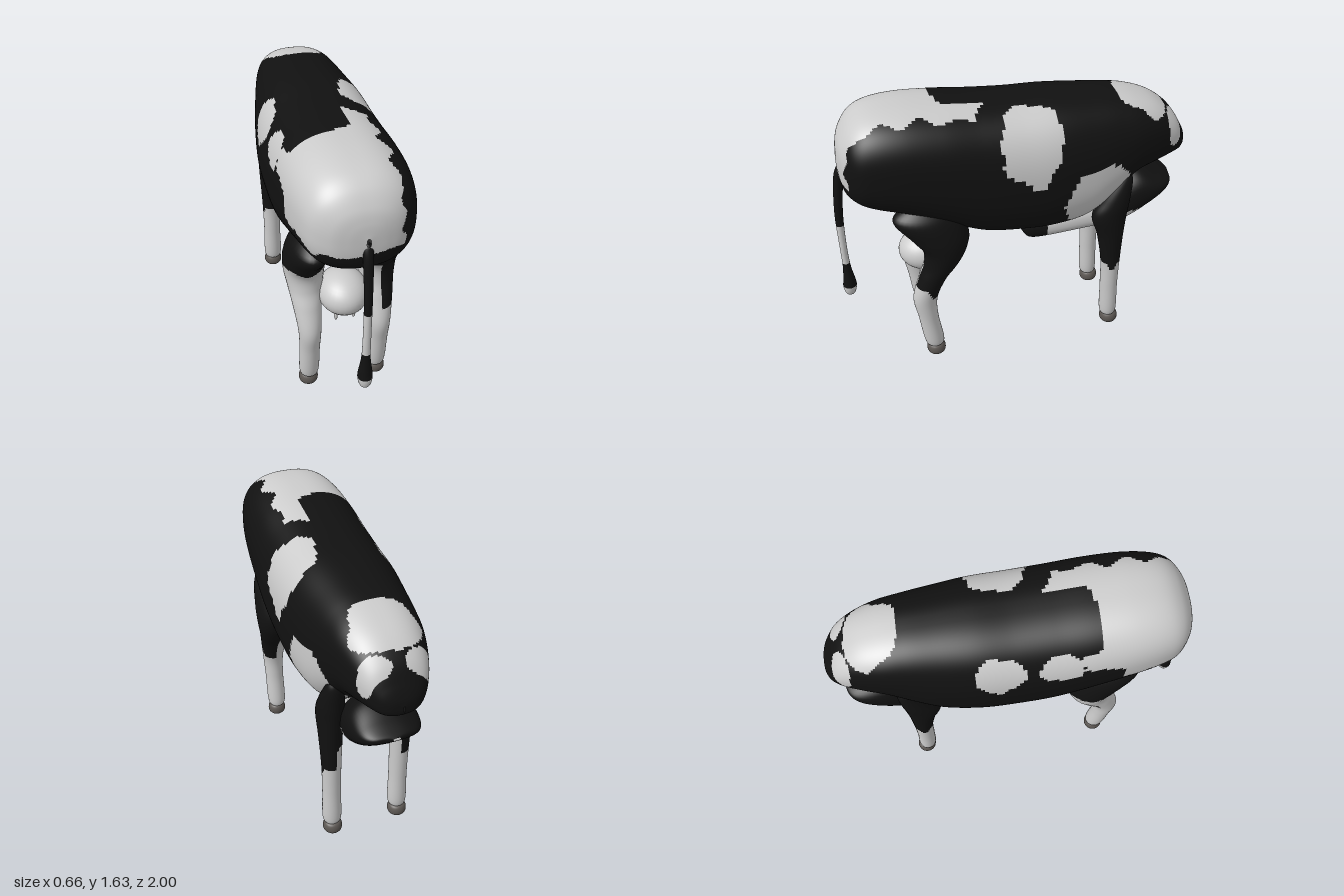
import * as THREE from 'three';

const mats = {
  light: new THREE.MeshStandardMaterial({ color: 0xcccccc }),
  dark: new THREE.MeshStandardMaterial({ color: 0x111111 }),
  hoof: new THREE.MeshStandardMaterial({ color: 0x5c5753 }),
};

// Smooth loft through rows [t, lo, hi, halfWidth, cx]. Along 'z' (descending) lo/hi are heights;
// along 'y' (ascending) they are depths. isDark(x, y, z) picks the coat colour of each cell.
function loft(name, rows, axis, isDark, { power = 2, steps = 40, sides = 32 } = {}) {
  const edges = new THREE.CatmullRomCurve3(rows.map(r => new THREE.Vector3(r[0], r[1], r[2])), false, 'catmullrom');
  const widths = new THREE.CatmullRomCurve3(rows.map(r => new THREE.Vector3(r[3], r[4] ?? 0, 0)), false, 'catmullrom');
  const pos = [];
  const bend = v => Math.sign(v) * Math.abs(v) ** (2 / power);
  for (let i = 0; i <= steps; i++) {
    const e = edges.getPoint(i / steps), w = widths.getPoint(i / steps);
    for (let j = 0; j < sides; j++) {
      const a = (j / sides) * Math.PI * 2;
      const x = w.y + Math.max(w.x, 0.001) * bend(Math.cos(a));
      const v = (e.y + e.z) / 2 + Math.max((e.z - e.y) / 2, 0.001) * bend(Math.sin(a));
      if (axis === 'z') pos.push(x, v, e.x);
      else pos.push(x, e.x, v);
    }
  }
  const faces = { light: [], dark: [] };
  for (let i = 0; i < steps; i++) {
    for (let j = 0; j < sides; j++) {
      const a = i * sides + j, b = i * sides + ((j + 1) % sides), c = a + sides, d = b + sides;
      const mid = k => (pos[a * 3 + k] + pos[d * 3 + k]) / 2;
      faces[isDark(mid(0), mid(1), mid(2)) ? 'dark' : 'light'].push(a, c, b, b, c, d);
    }
  }
  // Both colours share one set of normals, so the coat stays smooth across patches
  const base = new THREE.BufferGeometry();
  base.setAttribute('position', new THREE.Float32BufferAttribute(pos, 3));
  base.setIndex([...faces.light, ...faces.dark]);
  base.computeVertexNormals();
  const group = new THREE.Group();
  group.name = name;
  for (const key of ['light', 'dark']) {
    if (!faces[key].length) continue;
    const geo = new THREE.BufferGeometry();
    geo.setAttribute('position', base.attributes.position);
    geo.setAttribute('normal', base.attributes.normal);
    geo.setIndex(faces[key]);
    const mesh = new THREE.Mesh(geo, mats[key]);
    mesh.name = `${name}${key === 'light' ? 'Light' : 'Dark'}Coat`;
    group.add(mesh);
  }
  return group;
}

// Light patches on the dark body: ellipsoids [x, y, z, rx, ry, rz]
const patches = [
  [0.28, 1.45, -0.05, 0.2, 0.25, 0.17],
  [0.25, 1.02, -0.44, 0.2, 0.23, 0.2],
  [-0.3, 1.42, -0.1, 0.09, 0.16, 0.13],
  [-0.29, 1.42, 0.22, 0.08, 0.1, 0.12],
  [0, 1.55, -0.76, 0.24, 0.16, 0.18],
  [0.14, 1.36, -0.89, 0.12, 0.13, 0.05],
  [-0.14, 1.36, -0.89, 0.12, 0.13, 0.05],
  [0, 0.82, 0.3, 0.15, 0.14, 0.3],
];

function bodyDark(x, y, z) {
  const wob = 0.015 * Math.sin(31 * z + 9 * y) + 0.012 * Math.sin(43 * y - 17 * x);
  const rump = x > -0.315 && x < 0.17 + wob && y > 1.23 + wob && z > (x > 0.05 ? 0.17 : 0.37) + 2 * wob;
  return !rump && !patches.some(([a, b, c, p, q, r]) =>
    ((x - a) / p) ** 2 + ((y - b) / q) ** 2 + ((z - c) / r) ** 2 < 1 + 8 * wob);
}

const bodyRows = [
  [0.935, 1.29, 1.34, 0.01], [0.925, 1.21, 1.42, 0.1], [0.9, 1.15, 1.49, 0.18], [0.84, 1.1, 1.565, 0.25],
  [0.75, 1.06, 1.61, 0.285], [0.6, 1.01, 1.625, 0.31], [0.4, 0.92, 1.615, 0.325], [0.2, 0.825, 1.595, 0.33],
  [0, 0.79, 1.58, 0.33], [-0.2, 0.78, 1.575, 0.325], [-0.4, 0.81, 1.56, 0.3], [-0.55, 0.92, 1.545, 0.27],
  [-0.68, 1.045, 1.52, 0.24], [-0.8, 1.09, 1.475, 0.205], [-0.9, 1.12, 1.4, 0.165], [-0.96, 1.135, 1.31, 0.12],
  [-0.99, 1.155, 1.25, 0.07], [-1, 1.18, 1.21, 0.005],
];

// Head tucked back under the chest, muzzle pointing to the udder
const headRows = [
  [-0.04, 0.74, 0.76, 0.04], [-0.06, 0.69, 0.78, 0.08], [-0.1, 0.64, 0.79, 0.095], [-0.2, 0.63, 0.8, 0.1],
  [-0.45, 0.655, 0.88, 0.13], [-0.6, 0.675, 1.0, 0.17], [-0.72, 0.74, 1.05, 0.185], [-0.85, 0.85, 1.01, 0.17],
  [-0.92, 0.92, 0.98, 0.12], [-0.945, 0.95, 0.965, 0.02],
];

const hindLegRows = s => [
  [0.08, 0.5, 0.53, 0.01, 0.197 * s], [0.09, 0.46, 0.57, 0.053, 0.197 * s], [0.3, 0.485, 0.6, 0.057, 0.197 * s],
  [0.45, 0.48, 0.62, 0.064, 0.197 * s], [0.6, 0.42, 0.58, 0.08, 0.2 * s], [0.7, 0.35, 0.545, 0.096, 0.2 * s],
  [0.8, 0.3, 0.545, 0.112, 0.2 * s], [0.9, 0.285, 0.61, 0.112, 0.2 * s], [1.02, 0.33, 0.69, 0.1, 0.185 * s],
  [1.1, 0.45, 0.58, 0.03, 0.18 * s],
];

const frontLegRows = s => [
  [0.08, -0.59, -0.56, 0.01, 0.2 * s], [0.09, -0.625, -0.525, 0.052, 0.2 * s], [0.3, -0.62, -0.515, 0.052, 0.2 * s],
  [0.5, -0.62, -0.505, 0.055, 0.2 * s], [0.7, -0.625, -0.47, 0.064, 0.2 * s], [0.84, -0.635, -0.43, 0.07, 0.2 * s],
  [0.95, -0.645, -0.48, 0.068, 0.2 * s], [1.08, -0.65, -0.56, 0.045, 0.2 * s], [1.14, -0.62, -0.6, 0.01, 0.2 * s],
];

const tailRows = [
  [0.39, 0.955, 0.965, 0.008], [0.405, 0.935, 0.99, 0.027], [0.45, 0.922, 1.0, 0.039], [0.5, 0.925, 0.995, 0.037],
  [0.6, 0.94, 0.985, 0.024], [0.75, 0.945, 0.985, 0.021], [0.95, 0.94, 0.985, 0.021], [1.1, 0.925, 0.975, 0.023],
  [1.22, 0.905, 0.96, 0.026], [1.28, 0.89, 0.94, 0.026], [1.3, 0.9, 0.92, 0.008],
];

function ball(name, mat, x, y, z, rx, ry, rz) {
  const mesh = new THREE.Mesh(new THREE.SphereGeometry(1, 32, 20), mat);
  mesh.name = name;
  mesh.position.set(x, y, z);
  mesh.scale.set(rx, ry, rz);
  return mesh;
}

function hoof(name, x, z) {
  const profile = [[0, 0], [0.035, 0], [0.052, 0.015], [0.055, 0.04], [0.048, 0.062], [0.035, 0.072], [0, 0.085]];
  const curve = new THREE.SplineCurve(profile.map(p => new THREE.Vector2(...p)));
  const pts = curve.getPoints(18).map(p => p.set(Math.max(p.x, 0), Math.max(p.y, 0)));
  const mesh = new THREE.Mesh(new THREE.LatheGeometry(pts, 28), mats.hoof);
  mesh.name = name;
  mesh.position.set(x, 0, z);
  return mesh;
}

export function createModel() {
  const cow = new THREE.Group();
  cow.name = 'cow';

  cow.add(loft('body', bodyRows, 'z', bodyDark, { power: 2.5, steps: 170, sides: 112 }));
  cow.add(loft('head', headRows, 'z',
    (x, y, z) => z > -0.2 || (z < -0.6 && y > 0.82), { power: 2.3, steps: 60, sides: 48 }));

  // Legs and hooves, mirrored
  for (const [side, s] of [['left', 1], ['right', -1]]) {
    const hindDark = (x, y, z) => s > 0
      ? y > 0.84 || (x > 0.2 && y > 0.48 + 0.9 * Math.max(0, z - 0.5) + 0.02 * Math.sin(z * 60))
      : y > 0.84 + 0.02 * Math.sin(x * 40);
    cow.add(loft(`${side}HindLeg`, hindLegRows(s), 'y', hindDark, { steps: 72 }));
    cow.add(loft(`${side}FrontLeg`, frontLegRows(s), 'y',
      (x, y, z) => y > 0.48 + 0.03 * Math.sin(z * 70) + (s * x < 0.19 ? 0.15 : 0), { steps: 72 }));
    cow.add(hoof(`${side}HindHoof`, 0.2 * s, 0.51));
    cow.add(hoof(`${side}FrontHoof`, 0.2 * s, -0.585));
  }

  // Tail with tuft
  cow.add(loft('tail', tailRows, 'y', (x, y) => y > 0.9 || (y > 0.46 && y < 0.63), { steps: 80, sides: 20 }));

  // Udder and teats
  cow.add(ball('udder', mats.light, 0, 0.65, 0.5, 0.14, 0.12, 0.16));
  for (const x of [-0.05, 0.05]) {
    for (const z of [0.45, 0.55]) cow.add(ball('teat', mats.light, x, 0.517, z, 0.01, 0.034, 0.01));
  }
  return cow;
}
